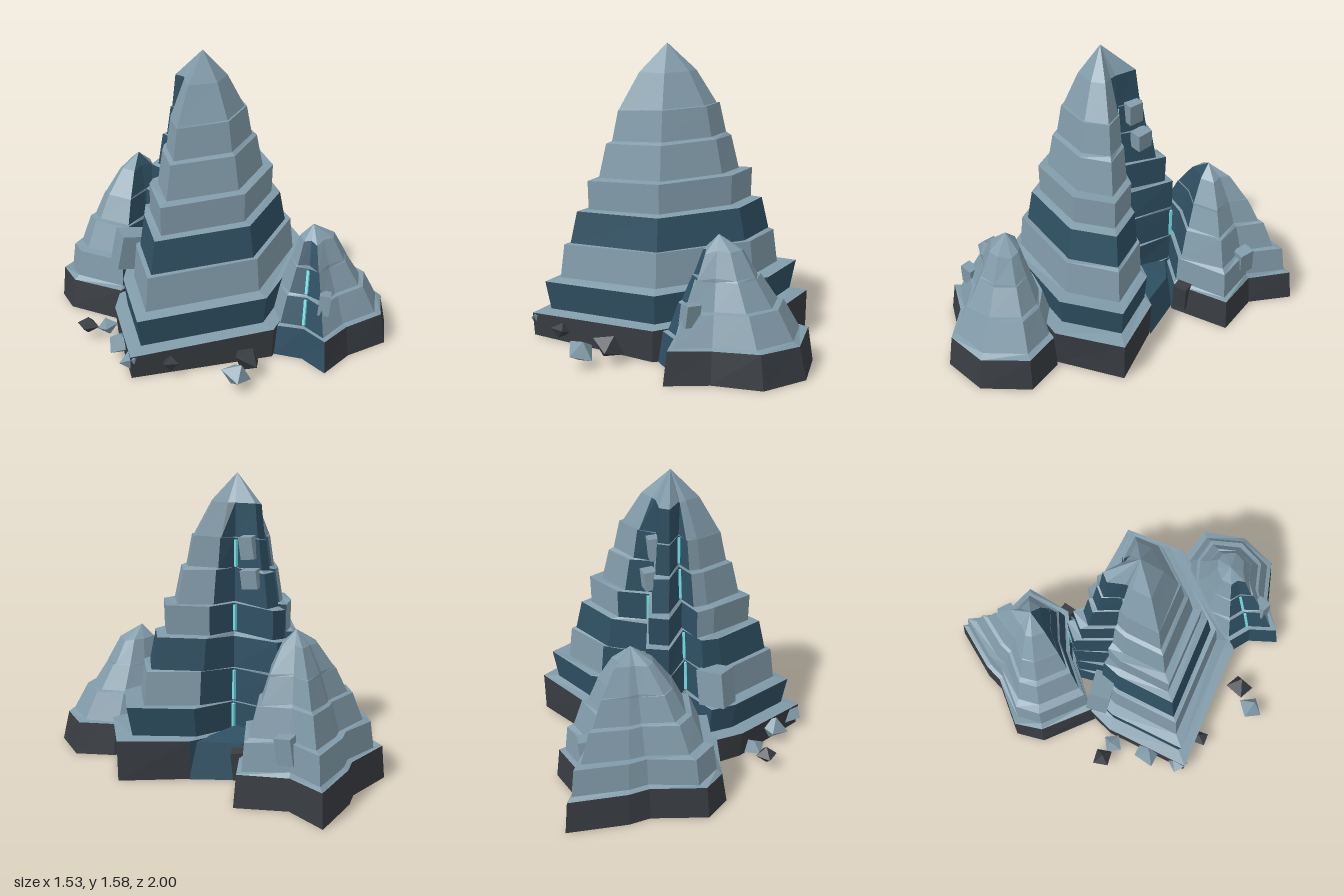
import * as THREE from 'three';
import { ConvexGeometry } from 'three/addons/geometries/ConvexGeometry.js';

const mat = (name, color) => {
  const m = new THREE.MeshStandardMaterial({ color, flatShading: true, side: THREE.DoubleSide });
  m.name = name;
  return m;
};

export function createModel() {
  const group = new THREE.Group();
  group.name = 'layeredMountain';
  const mats = {
    slate: mat('slate', 0x819ba9),
    deepBlue: mat('deepBlue', 0x2f5063),
    charcoal: mat('charcoal', 0x383c41),
    crystal: mat('crystal', 0x74e0e6),
  };
  let seed = 7;
  const rnd = () => (seed = (seed * 16807) % 2147483647) / 2147483647 - 0.5;

  // A peak is a stack of outlines shrinking towards the apex, one stepped band per tier.
  // tiers: [bottom scale, top scale, top height]; colourOf(tier, sector) paints the walls,
  // ledges stay slate; limits clamp the scale of single corners.
  function addPeak(name, apex, outline, tiers, colourOf, tilt = 0, limits = {}) {
    const tip = new THREE.Vector3(...apex);
    const rings = [];
    let floor = 0.01;
    tiers.forEach(([s0, s1, top], t) => {
      const bumps = outline.map(() => rnd() * 0.03);
      const ring = (s, y, base) => outline.map(([x, z], i) => {
        const [min, max] = limits[i] || [0, 1];
        const k = THREE.MathUtils.clamp(s, min, max) * (1 + (base ? 0 : bumps[i]));
        const px = tip.x + (x - tip.x) * k;
        return new THREE.Vector3(px, base ? y : y + tilt * px + bumps[i] * 0.6, tip.z + (z - tip.z) * k);
      });
      rings.push(ring(s0, floor, t === 0), ring(s1, top, false));
      floor = top + 0.008;
    });
    const faces = {};
    const put = (colour, ...pts) => pts.forEach((p) => (faces[colour] ??= []).push(p));
    const n = outline.length;
    for (let i = 0; i < n; i++) {
      const j = (i + 1) % n;
      for (let r = 0; r < rings.length - 1; r++) {
        const lo = rings[r], hi = rings[r + 1];
        const colour = r % 2 ? 'slate' : colourOf(r / 2, i);
        put(colour, lo[i], hi[i], lo[j], lo[j], hi[i], hi[j]);
      }
      const last = rings[rings.length - 1];
      put(colourOf(tiers.length, i), last[i], tip, last[j]);
    }
    for (const [colour, pts] of Object.entries(faces)) {
      const geo = new THREE.BufferGeometry().setFromPoints(pts);
      geo.computeVertexNormals();
      const mesh = new THREE.Mesh(geo, mats[colour]);
      mesh.name = `${name} ${colour} strata`;
      group.add(mesh);
    }
    return rings;
  }

  // Main peak, with a blue buttress between two clefts at the back
  const mainRings = addPeak('main peak', [-0.01, 1.59, 0.03],
    [
      [0.77, 0.14], [0.54, 0.45], [-0.13, 0.6], [-0.76, 0.13], [-0.44, -0.25], [-0.3, -0.34],
      [-0.14, -0.18], [-0.06, -0.55], [0.12, -0.57], [0.17, -0.12], [0.47, -0.11],
    ],
    [
      [0.98, 1, 0.19], [0.86, 0.9, 0.355], [0.78, 0.75, 0.545], [0.71, 0.66, 0.725],
      [0.58, 0.585, 0.89], [0.5, 0.445, 1.08], [0.4, 0.355, 1.25], [0.34, 0.2, 1.44],
    ],
    (t, i) => {
      if (i >= 5 && i <= 9 && t < 8) return 'deepBlue';
      if (t === 0) return 'charcoal';
      return t === 1 || t === 3 ? 'deepBlue' : 'slate';
    },
    0.065, { 6: [0.4, 1], 7: [0.3, 0.65], 8: [0.3, 0.65], 9: [0.4, 1] });

  // Front foothill, with a small blue cleft on its left-hand slope
  const frontRings = addPeak('front peak', [0.2, 0.685, 0.62],
    [[0.69, 0.62], [0.6, 0.88], [0.37, 1], [0.13, 0.91], [-0.1, 0.9], [-0.05, 0.73], [-0.1, 0.58], [0.05, 0.4], [0.35, 0.38], [0.55, 0.45]],
    [[1, 0.93, 0.18], [0.84, 0.67, 0.335], [0.61, 0.43, 0.475], [0.41, 0.26, 0.61]],
    (t, i) => {
      if ((i === 4 || i === 5) && t < 4) return 'deepBlue';
      return t === 0 ? 'charcoal' : 'slate';
    });

  // Rear foothill, blue where it faces the main peak
  addPeak('rear peak', [0.13, 0.855, -0.55],
    [[0.55, -0.53], [0.3, -0.3], [0, -0.35], [-0.32, -0.32], [-0.38, -0.65], [-0.3, -0.8], [0, -0.84], [0.1, -0.9], [0.41, -1], [0.38, -0.75]],
    [[1, 0.96, 0.185], [0.88, 0.84, 0.34], [0.74, 0.62, 0.5], [0.56, 0.43, 0.64], [0.42, 0.23, 0.78]],
    (t, i) => {
      if (i === 1 || (i === 2 && t > 0)) return 'deepBlue';
      return t === 0 ? 'charcoal' : 'slate';
    });

  // Blue scree filling the foot of the right cleft
  const scree = new THREE.Mesh(new ConvexGeometry([
    [0.47, 0.01, -0.11], [0.27, 0.01, -0.31], [0.1, 0.01, -0.34],
    [0.43, 0.21, -0.1], [0.25, 0.2, -0.28], [0.1, 0.24, -0.12], [0.1, 0.2, -0.33],
  ].map((p) => new THREE.Vector3(...p))), mats.deepBlue);
  scree.name = 'cleftScree';
  group.add(scree);

  // Crystal veins climbing the clefts: rings, corner, tiers, outward shift
  const up = new THREE.Vector3(0, 1, 0);
  const veins = [
    [mainRings, 6, [1, 2, 3, 5, 6], [-0.003, 0, -0.01]],
    [mainRings, 9, [1, 2, 4, 6], [0.005, 0, -0.01]],
    [mainRings, 8, [2], [0.004, 0, 0]],
    [frontRings, 5, [1, 2], [-0.006, 0, 0]],
  ];
  for (const [rings, corner, levels, shift] of veins) {
    for (const t of levels) {
      const a = rings[t * 2][corner], b = rings[t * 2 + 1][corner];
      const dir = b.clone().sub(a);
      const vein = new THREE.Mesh(new THREE.BoxGeometry(0.015, dir.length() * 0.9, 0.015), mats.crystal);
      vein.position.copy(a).add(b).multiplyScalar(0.5).add(new THREE.Vector3(...shift));
      vein.quaternion.setFromUnitVectors(up, dir.normalize());
      vein.name = 'crystalVein';
      group.add(vein);
    }
  }

  // Blocks jutting from the slopes: x, y, z, width, height, depth, turn, colour
  const blocks = [
    [0.04, 0.33, 0.8, 0.08, 0.11, 0.06, 0.5, 'slate'],
    [0.35, 0.31, -0.7, 0.07, 0.14, 0.09, 0.3, 'slate'],
    [0.06, 1.21, -0.13, 0.06, 0.12, 0.08, 0.3, 'slate'],
    [0.08, 1.05, -0.17, 0.07, 0.1, 0.09, 0.4, 'slate'],
    [-0.29, 0.47, -0.26, 0.16, 0.2, 0.12, -0.5, 'slate'],
    [0.33, 0.13, -0.35, 0.08, 0.15, 0.08, 0.7, 'charcoal'],
  ];
  for (const [x, y, z, w, h, d, turn, colour] of blocks) {
    const block = new THREE.Mesh(new THREE.BoxGeometry(w, h, d), mats[colour]);
    block.position.set(x, y, z);
    block.rotation.set(0.1, turn, -0.12);
    block.name = 'ledgeBlock';
    group.add(block);
  }

  // Loose rocks on the left: x, y, z, size, colour
  const rocks = [
    [-0.58, 0.09, -0.33, 0.065, 'charcoal'], [-0.51, 0.08, -0.25, 0.065, 'slate'],
    [-0.61, 0.09, -0.06, 0.09, 'slate'], [-0.71, 0.09, 0.1, 0.075, 'slate'],
    [-0.6, 0.08, 0.27, 0.055, 'charcoal'], [-0.49, 0.09, 0.61, 0.085, 'slate'],
    [-0.35, 0.1, 0.58, 0.09, 'charcoal'],
  ];
  for (const [x, y, z, size, colour] of rocks) {
    const rock = new THREE.Mesh(new THREE.OctahedronGeometry(size), mats[colour]);
    rock.position.set(x, y, z);
    rock.scale.set(1, 0.75, 0.9);
    rock.rotation.set(rnd(), rnd() * 4, rnd());
    rock.name = 'looseRock';
    group.add(rock);
  }
  return group;
}
